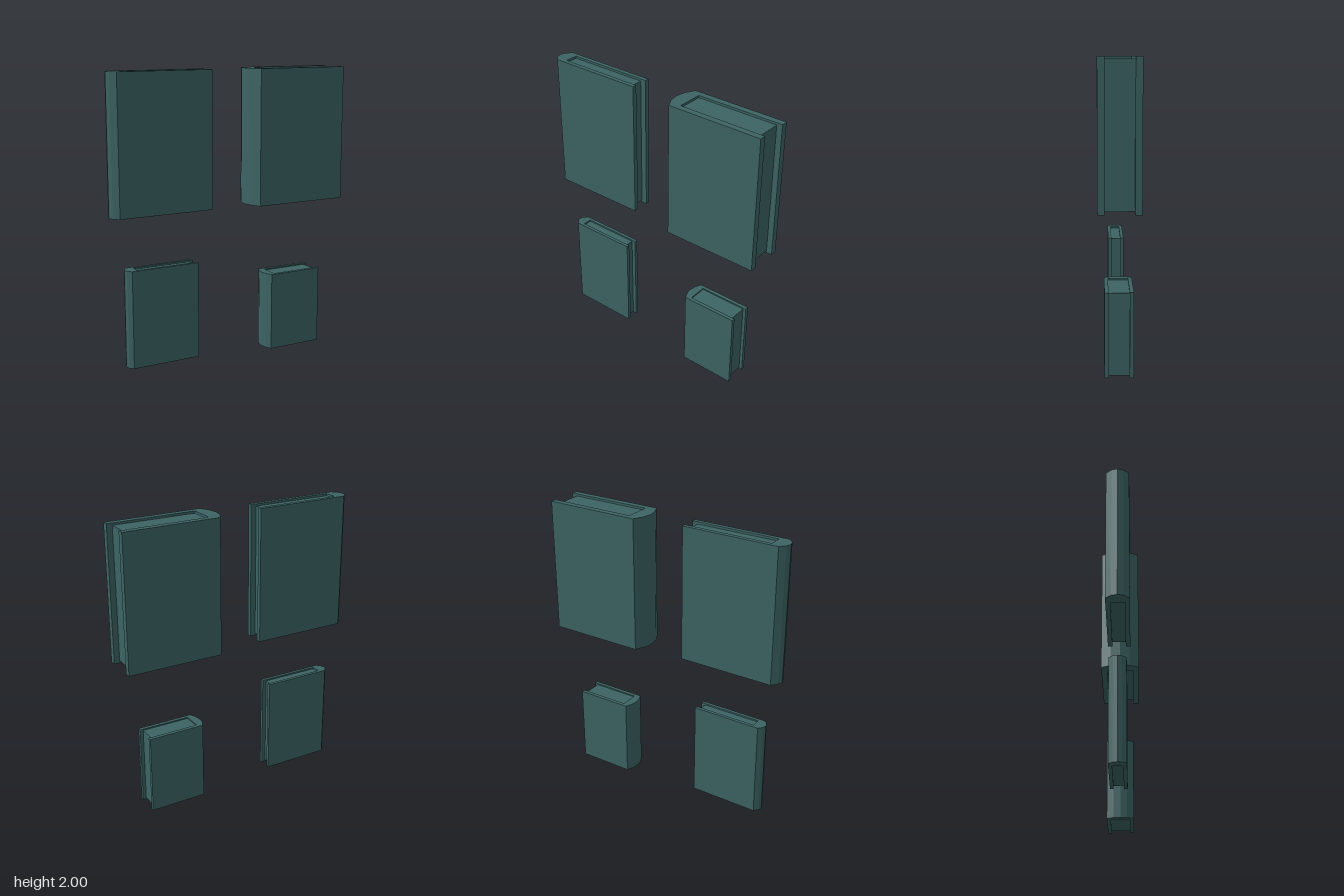
import * as THREE from 'three';

const material = new THREE.MeshStandardMaterial({ color: 0x3d6464, flatShading: true });

// One upright book: spine towards -x, pages opening towards +x.
// x0..x1 width, y0..y1 height, half = half thickness, s = scale of the details, board = cover thickness
function makeBook({ name, x0, x1, y0, y1, half, s, board }) {
  const book = new THREE.Group();
  book.name = name;
  const height = y1 - y0;
  const hinge = x0 + 0.046 * s;    // where the rounded spine meets the boards
  const inner = x0 + 0.105 * s;    // inside face of the spine
  const pageHalf = half - board;
  const pageEnd = x1 - 0.039 * s;

  // Cover: U-shaped plan with a faceted rounded spine
  const plan = new THREE.Shape();
  plan.moveTo(x1, -half);
  plan.lineTo(x1, -pageHalf);
  plan.lineTo(inner, -pageHalf);
  plan.lineTo(inner, pageHalf);
  plan.lineTo(x1, pageHalf);
  plan.lineTo(x1, half);
  plan.lineTo(hinge, half);
  plan.quadraticCurveTo(2 * x0 - hinge, 0, hinge, -half);
  const coverGeometry = new THREE.ExtrudeGeometry(plan, { depth: height, bevelEnabled: false, curveSegments: 4 });
  coverGeometry.rotateX(-Math.PI / 2);
  const cover = new THREE.Mesh(coverGeometry, material);
  cover.name = 'cover';
  cover.position.y = y0;

  // Page block, set slightly back from the cover edges
  const inset = 0.015 * s;
  const pages = new THREE.Mesh(
    new THREE.BoxGeometry(pageEnd - inner, height - 2 * inset, 2 * pageHalf), material);
  pages.name = 'pages';
  pages.position.set((inner + pageEnd) / 2, (y0 + y1) / 2, 0);

  book.add(cover, pages);
  return book;
}

export function createModel() {
  const model = new THREE.Group();
  model.name = 'books';
  const books = [
    { name: 'largeThinBook', x0: -0.865, x1: -0.147, y0: 1.065, y1: 2, half: 0.076, s: 1, board: 0.031 },
    { name: 'largeThickBook', x0: 0.145, x1: 0.865, y0: 1.065, y1: 2, half: 0.135, s: 1, board: 0.044 },
    { name: 'smallThinBook', x0: -0.767, x1: -0.248, y0: 0.033, y1: 0.705, half: 0.055, s: 0.72, board: 0.023 },
    { name: 'smallThickBook', x0: 0.29, x1: 0.716, y0: 0, y1: 0.552, half: 0.092, s: 0.59, board: 0.026 },
  ];
  for (const b of books) model.add(makeBook(b));
  return model;
}
